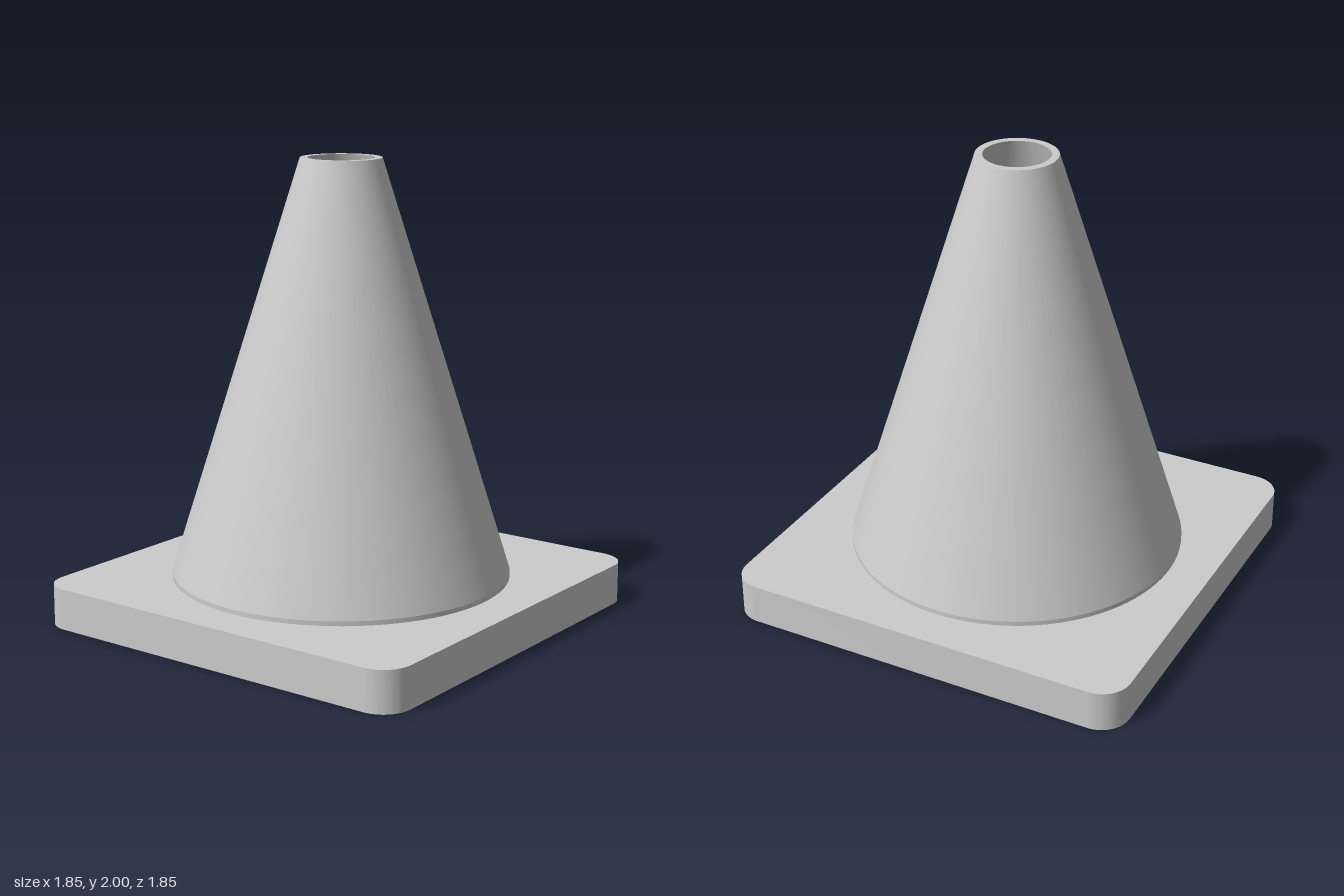
import * as THREE from 'three';
import { toCreasedNormals } from 'three/addons/utils/BufferGeometryUtils.js';

const BASE_HALF = 0.925, BASE_HEIGHT = 0.18, CORNER = 0.13;

// Square outline with rounded corners
function roundedSquare(h, r) {
  const s = new THREE.Shape();
  s.absarc(h - r, h - r, r, 0, Math.PI / 2);
  s.absarc(r - h, h - r, r, Math.PI / 2, Math.PI);
  s.absarc(r - h, r - h, r, Math.PI, Math.PI * 1.5);
  s.absarc(h - r, r - h, r, Math.PI * 1.5, Math.PI * 2);
  s.closePath();
  return s;
}

export function createModel() {
  const group = new THREE.Group();
  group.name = 'trafficCone';
  const material = new THREE.MeshStandardMaterial({ color: 0xcccccc });

  // Flat square foot
  const baseGeometry = new THREE.ExtrudeGeometry(roundedSquare(BASE_HALF, CORNER), {
    depth: BASE_HEIGHT, bevelEnabled: false, curveSegments: 12,
  });
  baseGeometry.rotateX(-Math.PI / 2);
  const base = new THREE.Mesh(toCreasedNormals(baseGeometry, 0.4), material);
  base.name = 'base';
  group.add(base);

  // Hollow cone: short collar, sloping outside, top rim, sloping inside
  const profile = [
    [0.74, BASE_HEIGHT], [0.74, 0.2], [0.175, 2], [0.142, 2], [0.705, BASE_HEIGHT],
  ].map(([r, y]) => new THREE.Vector2(r, y));
  const coneGeometry = new THREE.LatheGeometry(profile, 96);
  const cone = new THREE.Mesh(toCreasedNormals(coneGeometry, 0.2), material);
  cone.name = 'cone';
  group.add(cone);

  return group;
}
